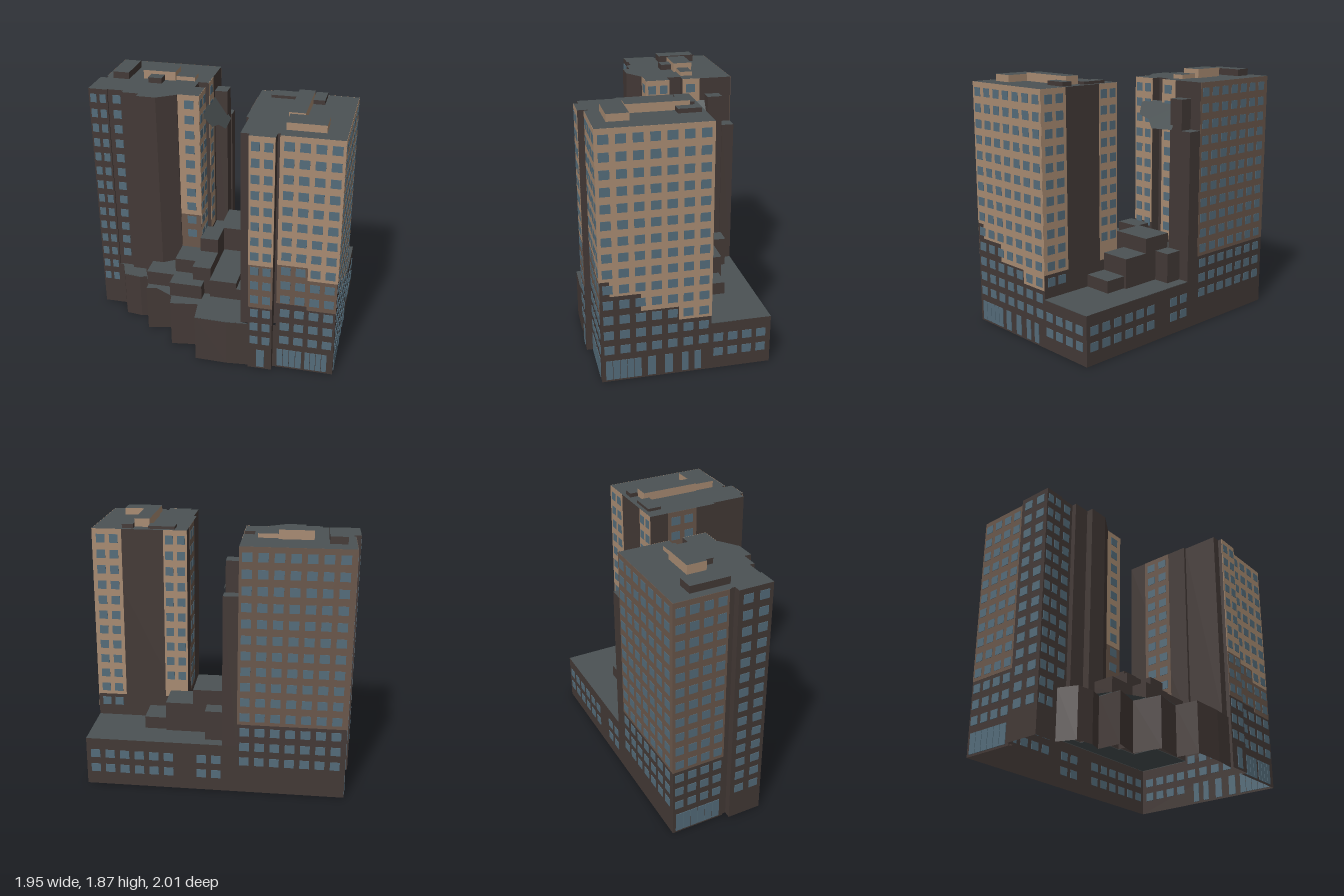
import * as THREE from 'three';
import { mergeGeometries } from 'three/addons/utils/BufferGeometryUtils.js';

const mat = (color) => new THREE.MeshStandardMaterial({ color, side: THREE.DoubleSide, flatShading: true });

export function createModel() {
  const tan = mat(0xa88b72), mid = mat(0x6a574b), brown = mat(0x433936);
  const glass = mat(0x546c7a), slate = mat(0x4b5254);
  const ROOF = 1.8, DECK = 0.36, END = 1.853;

  // Everything is laid out on the plot's own axes: u along x, v along z, then turned.
  const model = new THREE.Group();
  const site = new THREE.Group();
  site.name = 'cityBlock';
  site.position.set(-0.59, 0, -1);
  site.rotation.y = -0.566;
  model.add(site);

  // Walls and optional flat roof over a (u, v) outline, open underneath
  function prism(name, outline, y0, y1, wall = brown, lid = true) {
    const shape = new THREE.Shape(outline.map(([u, v]) => new THREE.Vector2(u, -v)));
    const g = new THREE.ExtrudeGeometry(shape, { depth: y1 - y0, bevelEnabled: false });
    g.rotateX(-Math.PI / 2).translate(0, y0, 0);
    const caps = g.groups[0];
    caps.count /= 2;
    caps.start += caps.count;
    if (!lid) g.groups.shift();
    const mesh = new THREE.Mesh(g, [slate, wall]);
    mesh.name = name;
    site.add(mesh);
  }
  const rect = (u0, u1, v0, v1) => [[u0, v0], [u1, v0], [u1, v1], [u0, v1]];

  // Thin panel on a wall whose normal runs along the given axis
  function panel(axis, at, a0, a1, y0, y1, t) {
    const w = a1 - a0, c = (a0 + a1) / 2, y = (y0 + y1) / 2;
    return axis === 'u'
      ? new THREE.BoxGeometry(t, y1 - y0, w).translate(at, y, c)
      : new THREE.BoxGeometry(w, y1 - y0, t).translate(c, y, at);
  }
  function addMerged(name, geometries, material) {
    const mesh = new THREE.Mesh(mergeGeometries(geometries), material);
    mesh.name = name;
    site.add(mesh);
  }

  // Podium walls with the stepped south-west side; the hall inside is open up into the towers
  const steps = [
    [1.25, 1.22], [1.09, 1.235], [0.86, 1.23], [0.84, 1.07], [0.64, 1.1], [0.6, 0.9],
    [0.41, 0.95], [0.4, 0.78], [0.31, 0.81], [0.185, 0.795], [0.13, 0.665],
  ];
  prism('podiumWalls', [
    [0, 0], [END, 0], [END, 1.196], [1.42, 1.196], [1.42, 1.24], [1.25, 1.24], ...steps,
    [-0.04, 0.665], [-0.04, 0.42], [0.01, 0.42], [0.01, 0.39], [0, 0.39],
  ], 0, DECK, brown, false);

  // Podium roof around the towers and terrace blocks
  prism('rearDeck', [
    [0.87, 0], [END, 0], [END, 0.43], [1.46, 0.43], [1.46, 0.22], [1.3, 0.22], [1.3, 0.2],
    [1, 0.2], [1, 0.08], [0.87, 0.08],
  ], DECK - 0.004, DECK, slate);
  prism('frontDeck', [
    ...steps, [0.1, 0.655], [0.22, 0.655], [0.22, 0.69], [0.34, 0.69], [0.34, 0.74], [0.4, 0.74], [0.4, 0.89],
    [0.61, 0.89], [0.61, 1], [0.85, 1], [0.85, 0.92], [0.9, 0.92], [0.9, 0.95], [1.19, 0.95], [1.19, 1.21],
  ], DECK - 0.004, DECK, slate);

  // Rear tower
  prism('rearTower', [
    [0, 0], [0.765, 0], [0.765, 0.37], [0.69, 0.37], [0.69, 0.47], [0.765, 0.47], [0.765, 0.645],
    [0.61, 0.645], [0.61, 0.655], [0.48, 0.74], [0.34, 0.74], [0.34, 0.69], [0.22, 0.69],
    [0.22, 0.655], [0.1, 0.655], [0.1, 0.665], [-0.04, 0.665], [-0.04, 0.42], [0.01, 0.42], [0.01, 0.39], [0, 0.39],
  ], DECK, ROOF);

  // Front tower
  prism('frontTower', [
    [1.17, 0.43], [END, 0.43], [END, 1.196], [1.44, 1.196], [1.44, 1.17], [1.42, 1.17],
    [1.42, 1.24], [1.25, 1.24], [1.25, 1.21], [1.19, 1.21], [1.19, 0.95], [1.17, 0.95],
  ], DECK, ROOF);

  // Shafts beside the rear tower: u0, u1, v0, v1, top
  [[0.765, 0.87, 0, 0.09, 1.46], [0.765, 0.86, 0.09, 0.2, 1.68]]
    .forEach(([a, b, c, d, top]) => prism('serviceShaft', rect(a, b, c, d), DECK, top));

  // Terrace blocks stepping through the court: u0, u1, v0, v1, top
  [
    [0.87, 1.1, 0.2, 0.5, 0.69], [0.87, 1, 0.08, 0.2, 0.58], [1.1, 1.3, 0.2, 0.43, 0.58],
    [1.3, 1.46, 0.22, 0.43, 0.45], [0.765, 0.87, 0.2, 0.5, 0.58], [0.69, 0.765, 0.37, 0.47, 0.58],
    [0.765, 0.9, 0.5, 0.69, 0.69], [1.1, 1.17, 0.43, 0.95, 0.45], [0.9, 1.1, 0.5, 0.95, 0.5],
    [0.61, 0.765, 0.645, 0.84, 0.58], [0.765, 0.9, 0.69, 0.92, 0.58],
    [0.61, 0.85, 0.84, 1, 0.47], [0.4, 0.61, 0.66, 0.89, 0.47],
  ].forEach(([a, b, c, d, top]) => prism('terraceBlock', rect(a, b, c, d), DECK, top));

  // Sloped canopy roof on the inner side of the rear tower
  const slope = new THREE.Shape([
    [0.17, 0], [0.52, 0], [0.57, 0.03], [0.54, 0.13], [0.43, 0.16], [0.36, 0.23], [0.17, 0.22],
  ].map(([a, b]) => new THREE.Vector2(a, b)));
  const canopy = new THREE.ShapeGeometry(slope);
  const cp = canopy.attributes.position;
  for (let i = 0; i < cp.count; i++) {
    const v = cp.getX(i), d = cp.getY(i);
    cp.setXYZ(i, 0.76 + d * 0.55, 1.64 - d * 0.82, v);
  }
  canopy.computeVertexNormals();
  const canopyMesh = new THREE.Mesh(canopy, slate);
  canopyMesh.name = 'canopyRoof';
  site.add(canopyMesh);

  // Rooftop plant rooms: u0, u1, v0, v1, top, wall
  [
    [0.06, 0.18, 0.14, 0.42, 1.85, brown], [0.28, 0.52, 0.24, 0.38, 1.865, tan],
    [0.52, 0.66, 0.27, 0.36, 1.83, tan], [0.34, 0.44, 0.38, 0.46, 1.84, brown],
    [1.46, 1.72, 0.95, 1.1, 1.85, tan], [1.45, 1.56, 0.52, 0.95, 1.86, tan],
    [1.56, 1.64, 0.46, 0.62, 1.83, brown], [1.26, 1.45, 0.46, 0.56, 1.82, brown],
  ].forEach(([a, b, c, d, top, wall]) => prism('plantRoom', rect(a, b, c, d), ROOF, top, wall));

  // Light cladding, whose lower edge steps: axis, at, from, to, bottom
  const clad = [
    ['v', 1.24, 1.25, 1.42, 0.86], ['v', 1.196, 1.44, 1.65, 0.86], ['v', 1.196, 1.65, END, 0.76],
    ['u', END, 1.13, 1.196, 0.76], ['u', END, 0.92, 1.13, 0.65], ['u', END, 0.66, 0.92, 0.52],
    ['u', END, 0.43, 0.66, 0.42], ['v', 0.43, 1.64, END, 0.53], ['v', 0.43, 1.17, 1.34, 0.53],
    ['v', 0.645, 0.61, 0.765, 0.86], ['u', 0.765, 0.47, 0.645, 0.7], ['u', 0.765, 0.24, 0.37, 0.6],
  ];
  addMerged('lightCladding', clad.map(([x, at, a, b, y]) => panel(x, at, a, b, y, ROOF, 0.004)), tan);

  // Darker cladding: axis, at, from, to, bottom, top
  const midClad = [
    ['v', 1.24, 1.25, 1.42, 0.52, 0.86], ['v', 1.196, 1.44, 1.65, 0.55, 0.86],
    ['v', 1.196, 1.65, END, 0.52, 0.76], ['v', 0.645, 0.61, 0.765, 0.58, 0.86],
    ['v', 0, 0, 0.765, 0.53, ROOF], ['u', 0, 0, 0.38, 0.53, ROOF], ['u', 1.17, 0.57, 0.8, 0.53, ROOF],
  ];
  addMerged('midCladding', midClad.map(([x, at, a, b, y0, y1]) => panel(x, at, a, b, y0, y1, 0.004)), mid);

  // Window grids: axis, at, from, to, columns, first row, last row (rows counted from the top)
  const windows = [];
  [
    ['v', 1.24, 1.25, 1.42, 2, 0, 13], ['v', 1.196, 1.45, END, 4, 0, 13],
    ['u', END, 0.43, 1.196, 7, 0, 13], ['u', END, 0.02, 0.43, 4, 13, 14],
    ['v', 0.43, 1.65, 1.84, 2, 0, 11], ['v', 0.43, 1.17, 1.34, 2, 0, 9], ['u', 1.17, 0.58, 0.79, 2, 0, 10],
    ['v', 0, 0.02, 0.765, 7, 0, 13], ['v', 0, 0.86, 1.07, 2, 13, 14], ['v', 0, 1.2, 1.84, 6, 13, 14],
    ['u', 0, 0, 0.38, 4, 0, 13], ['u', -0.04, 0.43, 0.66, 2, 0, 13],
    ['v', 0.665, -0.04, 0.1, 2, 0, 13], ['v', 0.655, 0.12, 0.21, 1, 0, 11],
    ['v', 0.645, 0.62, 0.765, 1, 0, 9], ['u', 0.765, 0.47, 0.645, 2, 0, 9], ['u', 0.765, 0.25, 0.37, 1, 0, 9],
  ].forEach(([axis, at, a, b, cols, r0, r1]) => {
    const pitch = (b - a) / cols, half = Math.min(0.034, pitch * 0.33);
    for (let r = r0; r <= r1; r++) for (let c = 0; c < cols; c++) {
      const m = a + (c + 0.5) * pitch, y = 1.73 - r * 0.1143;
      windows.push(panel(axis, at, m - half, m + half, y - 0.031, y + 0.031, 0.009));
    }
  });
  addMerged('windows', windows, glass);

  // Ground-floor shopfronts: axis, at, from, to, panes
  const panes = [];
  [
    ['v', 1.196, 1.45, 1.63, 4], ['v', 1.196, 1.65, 1.81, 4], ['v', 1.24, 1.31, 1.37, 1],
    ['u', END, 0.92, 1.17, 5], ['u', END, 0.82, 0.88, 1], ['u', END, 0.7, 0.76, 1],
    ['u', END, 0.59, 0.64, 1], ['u', END, 0.5, 0.55, 1], ['u', 0, 0.02, 0.36, 6],
  ].forEach(([axis, at, a, b, n]) => {
    const pitch = (b - a) / n;
    for (let i = 0; i < n; i++)
      panes.push(panel(axis, at, a + i * pitch + 0.002, a + (i + 1) * pitch - 0.002, 0.015, 0.16, 0.009));
  });
  addMerged('shopfrontGlass', panes, glass);

  return model;
}
